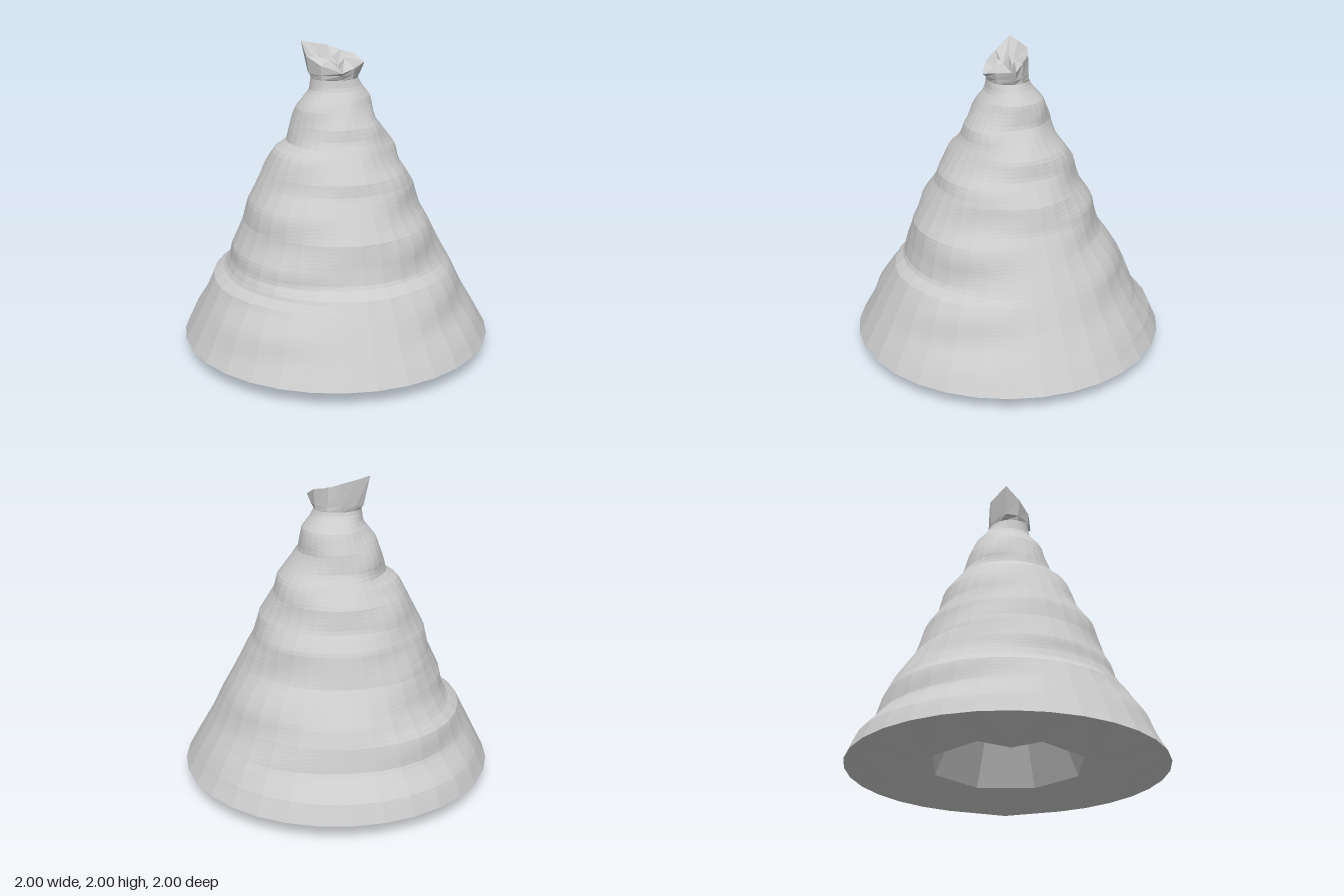
import * as THREE from 'three';

const SIDES = 32, ROWS = 72, Y0 = 0.1, Y1 = 1.78;

// Outlines of the draped cone as [radius, height], a quarter turn apart
const outlines = [
  // front
  [[1, 0.1], [0.75, 0.57], [0.68, 0.62], [0.65, 0.72], [0.62, 0.87], [0.47, 1.12], [0.45, 1.2], [0.3, 1.42], [0.28, 1.5], [0.19, 1.65], [0.14, 1.72], [0.13, 1.78]],
  // left (+x)
  [[1, 0.1], [0.82, 0.42], [0.77, 0.52], [0.73, 0.6], [0.58, 0.88], [0.54, 0.95], [0.5, 1.1], [0.4, 1.25], [0.38, 1.35], [0.32, 1.43], [0.24, 1.53], [0.22, 1.66], [0.16, 1.74], [0.14, 1.78]],
  // back
  [[1, 0.1], [0.95, 0.22], [0.83, 0.35], [0.79, 0.5], [0.74, 0.6], [0.6, 0.8], [0.54, 1.0], [0.46, 1.11], [0.43, 1.25], [0.3, 1.42], [0.27, 1.55], [0.22, 1.66], [0.14, 1.75], [0.13, 1.78]],
  // right (-x)
  [[1, 0.1], [0.8, 0.5], [0.72, 0.55], [0.69, 0.62], [0.68, 0.7], [0.6, 0.87], [0.57, 1.0], [0.4, 1.33], [0.32, 1.38], [0.3, 1.46], [0.25, 1.6], [0.17, 1.7], [0.16, 1.78]],
];

function radiusOn(outline, y) {
  for (let k = 1; k < outline.length; k++) {
    const [r0, y0] = outline[k - 1], [r1, y1] = outline[k];
    if (y <= y1 + 1e-6) return r0 + (r1 - r0) * (y - y0) / (y1 - y0);
  }
  return outline[outline.length - 1][0];
}

// Blend neighbouring outlines and add a winding fold between them
function drapeRadius(t, y) {
  const q = t / (Math.PI / 2), k = Math.floor(q + 1e-9), f = q - k;
  const s = f * f * (3 - 2 * f);
  const r = radiusOn(outlines[k % 4], y) * (1 - s) + radiusOn(outlines[(k + 1) % 4], y) * s;
  const fade = Math.min(1, (y - Y0) * 4) * Math.min(1, (Y1 - y) * 5);
  return r + 0.012 * fade * Math.sin(2 * t) ** 2 * Math.sin(y * 19 - t * 2);
}

const at = (r, t, y) => [r * Math.sin(t), y, r * Math.cos(t)];

function meshOf(name, triangles, material) {
  const g = new THREE.BufferGeometry();
  g.setAttribute('position', new THREE.Float32BufferAttribute(triangles.flat(2), 3));
  g.computeVertexNormals(); // unshared corners give flat facets
  const m = new THREE.Mesh(g, material);
  m.name = name;
  return m;
}

export function createModel() {
  const group = new THREE.Group();
  group.name = 'drapedCone';
  const cloth = new THREE.MeshStandardMaterial({ color: 0xcccccc, side: THREE.DoubleSide });
  cloth.name = 'pale grey';

  // Wrapped cone body
  const body = [];
  const point = (i, j) => {
    const t = (i % SIDES) / SIDES * Math.PI * 2, y = Y0 + (Y1 - Y0) * j / ROWS;
    return at(drapeRadius(t, y), t, y);
  };
  for (let j = 0; j < ROWS; j++) for (let i = 0; i < SIDES; i++) {
    const a = point(i, j), b = point(i + 1, j), c = point(i + 1, j + 1), d = point(i, j + 1);
    body.push([a, b, c], [a, c, d]);
  }
  group.add(meshOf('drapedBody', body, cloth));

  // Eight pointed lobes beneath the rim, around an octagonal hollow
  const lobes = [], hollow = [], step = Math.PI / 4;
  for (let k = 0; k < 8; k++) {
    const t = k * step;
    const tip = at(0.69, t + step / 2, 0), nextTip = at(0.69, t + step * 1.5, 0);
    const in0 = at(0.49, t, 0.12), in1 = at(0.49, t + step, 0.12);
    const rim1 = at(1, t + step, Y0);
    for (let i = 0; i < 4; i++)
      lobes.push([at(1, t + step * (i + 1) / 4, Y0), at(1, t + step * i / 4, Y0), tip]);
    lobes.push([rim1, tip, in1], [rim1, in1, nextTip], [tip, in0, in1]);
    // Inward-facing hollow
    hollow.push([in1, in0, [0, 1.2, 0]]);
  }
  group.add(meshOf('hemLobes', lobes, cloth), meshOf('innerHollow', hollow, cloth));

  // Crumpled knot: flared neck, jagged lip and sunken folds
  const lip = [
    [0, 1.83, 0.17], [0.09, 1.85, 0.12], [0.18, 1.87, 0.02], [0.14, 1.91, -0.04],
    [0.06, 1.93, -0.11], [-0.02, 1.96, -0.14], [-0.12, 1.98, -0.12], [-0.2, 2, -0.1],
    [-0.19, 1.92, 0], [-0.12, 1.87, 0.1],
  ];
  const neck = [], folds = [];
  lip.forEach((p, i) => {
    const n = lip[(i + 1) % lip.length];
    const foot = (v) => {
      const t = Math.atan2(v[0], v[2]);
      return at(drapeRadius((t + Math.PI * 2) % (Math.PI * 2), Y1), t, Y1);
    };
    const waist = (v) => {
      const f = foot(v);
      return [f[0] * 0.6 + v[0] * 0.4, 1.81, f[2] * 0.6 + v[2] * 0.4];
    };
    const a = foot(p), b = foot(n), c = waist(n), d = waist(p);
    neck.push([a, b, c], [a, c, d], [d, c, n], [d, n, p]);
    const sink = (v, k) => [v[0] * 0.45, 1.84 + (k % 2) * 0.06, v[2] * 0.45];
    const e = sink(p, i), f = sink(n, i + 1);
    folds.push([p, n, f], [p, f, e], [e, f, [0.02, 1.85, 0]]);
  });
  group.add(meshOf('knotNeck', neck, cloth), meshOf('knotFolds', folds, cloth));
  return group;
}
